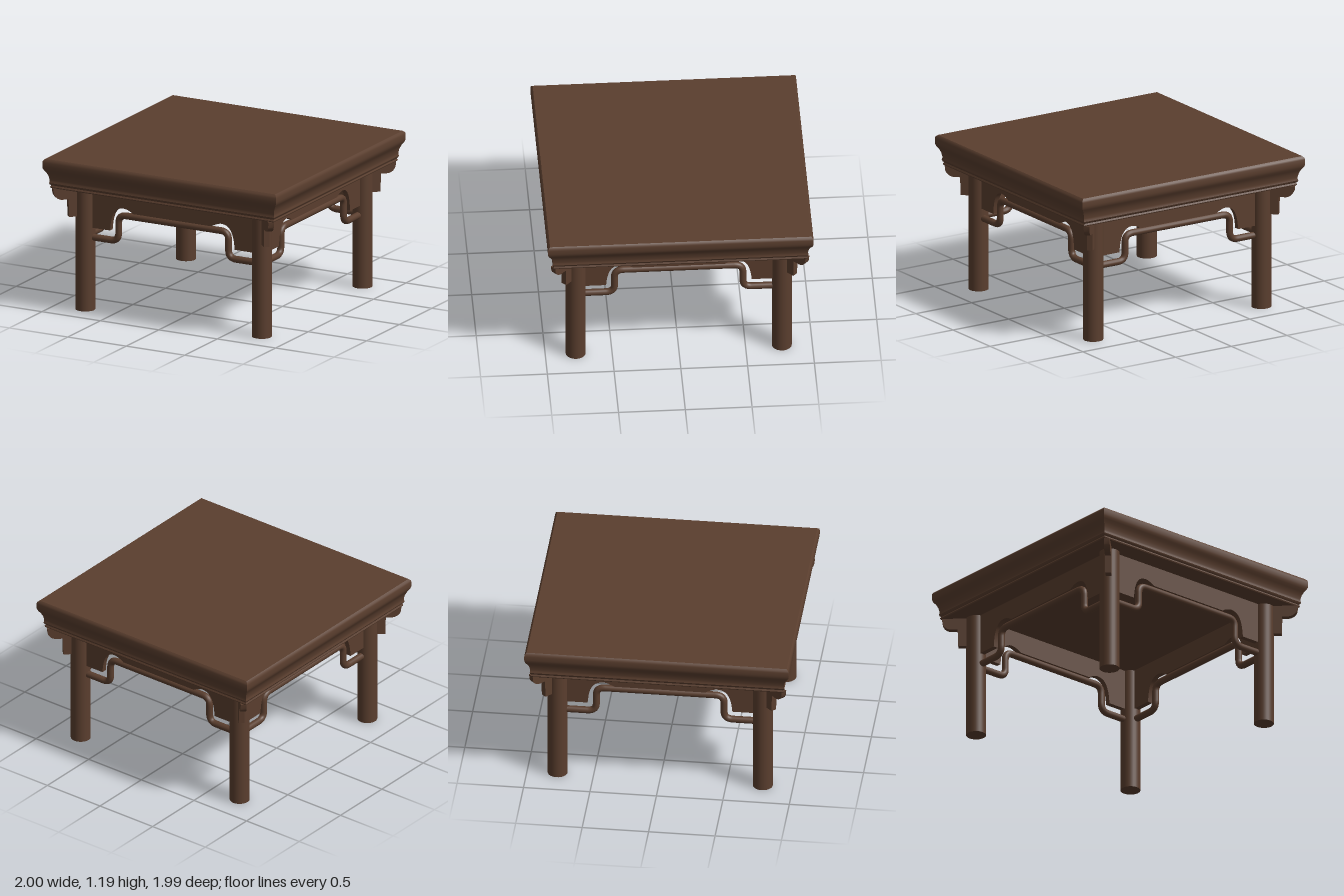
import * as THREE from 'three';
import { toCreasedNormals } from 'three/addons/utils/BufferGeometryUtils.js';

const wood = new THREE.MeshStandardMaterial({ color: 0x5a3e2e });
wood.name = 'dark brown wood';

const LEG_X = 0.755, LEG_Z = 0.772, LEG_R = 0.075, UNDER = 0.957;

function part(name, geometry, parent) {
  const mesh = new THREE.Mesh(geometry, wood);
  mesh.name = name;
  parent.add(mesh);
  return mesh;
}

// Square slab with a moulded edge: half-width and height, bottom to top
function tabletopGeometry() {
  const profile = [
    [0, UNDER], [0.953, UNDER], [0.957, 0.965], [0.951, 0.977], [0.959, 0.985], [0.963, 0.996],
    [0.959, 1.009], [0.959, 1.02], [0.965, 1.05], [0.977, 1.078], [0.991, 1.098],
    [0.998, 1.115], [1, 1.13], [1, 1.16], [0.996, 1.175], [0.983, 1.187], [0, 1.187],
  ].map(([w, y]) => new THREE.Vector2(w * Math.SQRT2, y));
  const g = new THREE.LatheGeometry(profile, 4, Math.PI / 4);
  return toCreasedNormals(g, 0.6).scale(1, 1, 0.995);
}

// Apron panel with a raised arch at each end of its lower edge
function apronGeometry() {
  const s = new THREE.Shape();
  s.moveTo(-LEG_X, UNDER);
  s.lineTo(-LEG_X, 0.645);
  s.lineTo(-0.533, 0.645);
  s.bezierCurveTo(-0.525, 0.76, -0.5, 0.83, -0.42, 0.832);
  s.quadraticCurveTo(-0.38, 0.83, -0.335, 0.8);
  s.lineTo(0.335, 0.8);
  s.quadraticCurveTo(0.38, 0.83, 0.42, 0.832);
  s.bezierCurveTo(0.5, 0.83, 0.525, 0.76, 0.533, 0.645);
  s.lineTo(LEG_X, 0.645);
  s.lineTo(LEG_X, UNDER);
  const g = new THREE.ExtrudeGeometry(s, { depth: 0.04, bevelEnabled: false, curveSegments: 10 });
  return toCreasedNormals(g.translate(0, 0, -0.02), 0.6);
}

// Humped round rail: straight runs joined by rounded bends
function railGeometry() {
  const half = [[-LEG_X, 0.567], [-0.47, 0.567], [-0.47, 0.772]];
  const pts = [...half, ...half.map(([x, y]) => [-x, y]).reverse()]
    .map(([x, y]) => new THREE.Vector3(x, y, 0));
  const path = new THREE.CurvePath();
  let from = pts[0];
  for (let i = 1; i < pts.length - 1; i++) {
    const p = pts[i];
    const a = p.clone().add(pts[i - 1].clone().sub(p).setLength(0.065));
    const b = p.clone().add(pts[i + 1].clone().sub(p).setLength(0.065));
    path.add(new THREE.LineCurve3(from, a));
    path.add(new THREE.QuadraticBezierCurve3(a, p, b));
    from = b;
  }
  path.add(new THREE.LineCurve3(from, pts[pts.length - 1]));
  return new THREE.TubeGeometry(path, 140, 0.026, 14);
}

// Stepped bracket plate, running outward from the leg centre along +x
function bracketGeometry() {
  const s = new THREE.Shape();
  s.moveTo(0, 0.73);
  s.lineTo(0.133, 0.73);
  s.lineTo(0.137, 0.868);
  s.lineTo(0.19, 0.868);
  s.quadraticCurveTo(0.235, 0.875, 0.25, 0.915);
  s.lineTo(0.255, UNDER);
  s.lineTo(0, UNDER);
  const g = new THREE.ExtrudeGeometry(s, { depth: 0.044, bevelEnabled: false, curveSegments: 8 });
  return toCreasedNormals(g.translate(0, 0, -0.022), 0.6);
}

export function createModel() {
  const table = new THREE.Group();
  table.name = 'table';
  part('tabletop', tabletopGeometry(), table);

  // Legs with diagonal corner brackets
  const legGeo = new THREE.CylinderGeometry(LEG_R, LEG_R, UNDER, 32).translate(0, UNDER / 2, 0);
  const bracketGeo = bracketGeometry();
  for (const sx of [-1, 1]) {
    for (const sz of [-1, 1]) {
      const corner = new THREE.Group();
      corner.name = `${sz > 0 ? 'front' : 'back'}${sx > 0 ? 'Left' : 'Right'}Corner`;
      corner.position.set(sx * LEG_X, 0, sz * LEG_Z);
      part('leg', legGeo, corner);
      part('cornerBracket', bracketGeo, corner).rotation.y = Math.atan2(-sz, sx);
      table.add(corner);
    }
  }

  // Apron and rail on each of the four sides
  const apronGeo = apronGeometry(), railGeo = railGeometry();
  ['front', 'left', 'back', 'right'].forEach((name, i) => {
    const side = new THREE.Group();
    side.name = `${name}Side`;
    part('apron', apronGeo, side);
    part('humpedRail', railGeo, side);
    const angle = i * Math.PI / 2;
    side.rotation.y = angle;
    side.position.set(Math.sin(angle) * LEG_X, 0, Math.cos(angle) * LEG_Z);
    if (i % 2) side.scale.x = LEG_Z / LEG_X;
    table.add(side);
  });
  return table;
}
